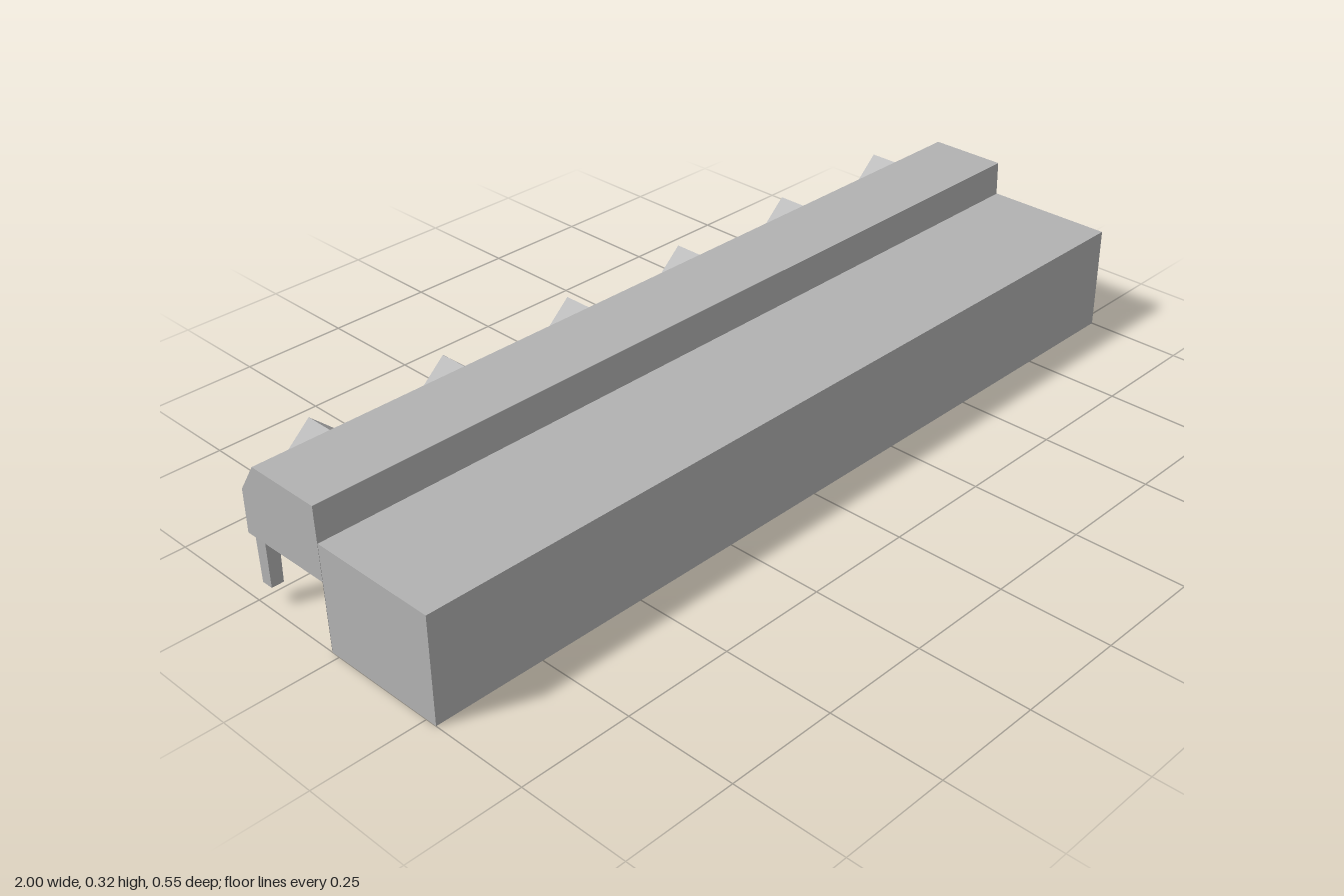
import * as THREE from 'three';

const grey = new THREE.MeshStandardMaterial({ color: 0xb2b2b2, side: THREE.DoubleSide, flatShading: true });
grey.name = 'grey';

// Mesh made of flat convex faces, each a loop of points fanned into triangles
function faceMesh(name, faces) {
  const pos = [];
  for (const f of faces)
    for (let i = 1; i < f.length - 1; i++) pos.push(...f[0], ...f[i], ...f[i + 1]);
  const g = new THREE.BufferGeometry();
  g.setAttribute('position', new THREE.Float32BufferAttribute(pos, 3));
  g.computeVertexNormals();
  const m = new THREE.Mesh(g, grey);
  m.name = name;
  return m;
}

// Open sheet: a [z, y] profile swept along the whole length
function sweep(name, profile) {
  const faces = [];
  for (let i = 0; i < profile.length - 1; i++) {
    const [z0, y0] = profile[i], [z1, y1] = profile[i + 1];
    faces.push([[-1, y0, z0], [-1, y1, z1], [1, y1, z1], [1, y0, z0]]);
  }
  return faceMesh(name, faces);
}

// Closing wall at the -x end, from a [z, y] outline
function endWall(name, outline) {
  return faceMesh(name, [outline.map(([z, y]) => [-1, y, z])]);
}

// Gabled dormer that runs back into the sloping roof
function dormer(x) {
  const w = 0.073, base = 0.18, eave = 0.253, ridge = 0.319, out = -0.276, wall = -0.253, top = -0.21;
  const faces = [[[w, base, out], [-w, base, out], [-w, eave, out], [0, ridge, out], [w, eave, out]]];
  for (const s of [-1, 1]) {
    const side = [[s * w, base, out], [s * w, eave, out], [s * w, eave, wall], [s * w, base, wall]];
    const roof = [[s * w, eave, out], [0, ridge, out], [0, ridge, top], [s * w, eave, wall]];
    if (s < 0) { side.reverse(); roof.reverse(); }
    faces.push(side, roof);
  }
  const m = faceMesh('dormer', faces);
  m.position.x = x;
  return m;
}

export function createModel() {
  const root = new THREE.Group();
  root.name = 'longBuilding';

  // Front block: open below and at the +x end
  const front = [[-0.02, 0], [-0.025, 0.241], [0.276, 0.241], [0.276, 0]];
  root.add(sweep('frontBlock', front.slice(1)));
  root.add(endWall('frontBlockEnd', [...front].reverse()));

  // Tall dividing wall, leaning slightly back
  root.add(sweep('dividingWall', [[-0.021, 0], [-0.028, 0.32]]));

  // Raised rear hall: floor, back wall, sloping eave and flat roof
  const hall = [[-0.025, 0.157], [-0.253, 0.155], [-0.253, 0.253], [-0.209, 0.32], [-0.028, 0.32]];
  root.add(sweep('rearHall', hall));
  root.add(endWall('rearHallEnd', [...hall].reverse()));

  // Dormers along the rear eave
  for (const x of [-0.825, -0.5, -0.165, 0.165, 0.505, 0.835]) root.add(dormer(x));

  // Slightly tapered posts under the rear hall
  const postGeo = new THREE.CylinderGeometry(0.0215, 0.0195, 0.11, 4, 1).rotateY(Math.PI / 4);
  for (let i = 0; i < 7; i++) {
    const post = new THREE.Mesh(postGeo, grey);
    post.name = 'post';
    post.position.set(-0.98 + i * 1.96 / 6, 0.101, -0.223);
    root.add(post);
  }
  return root;
}
